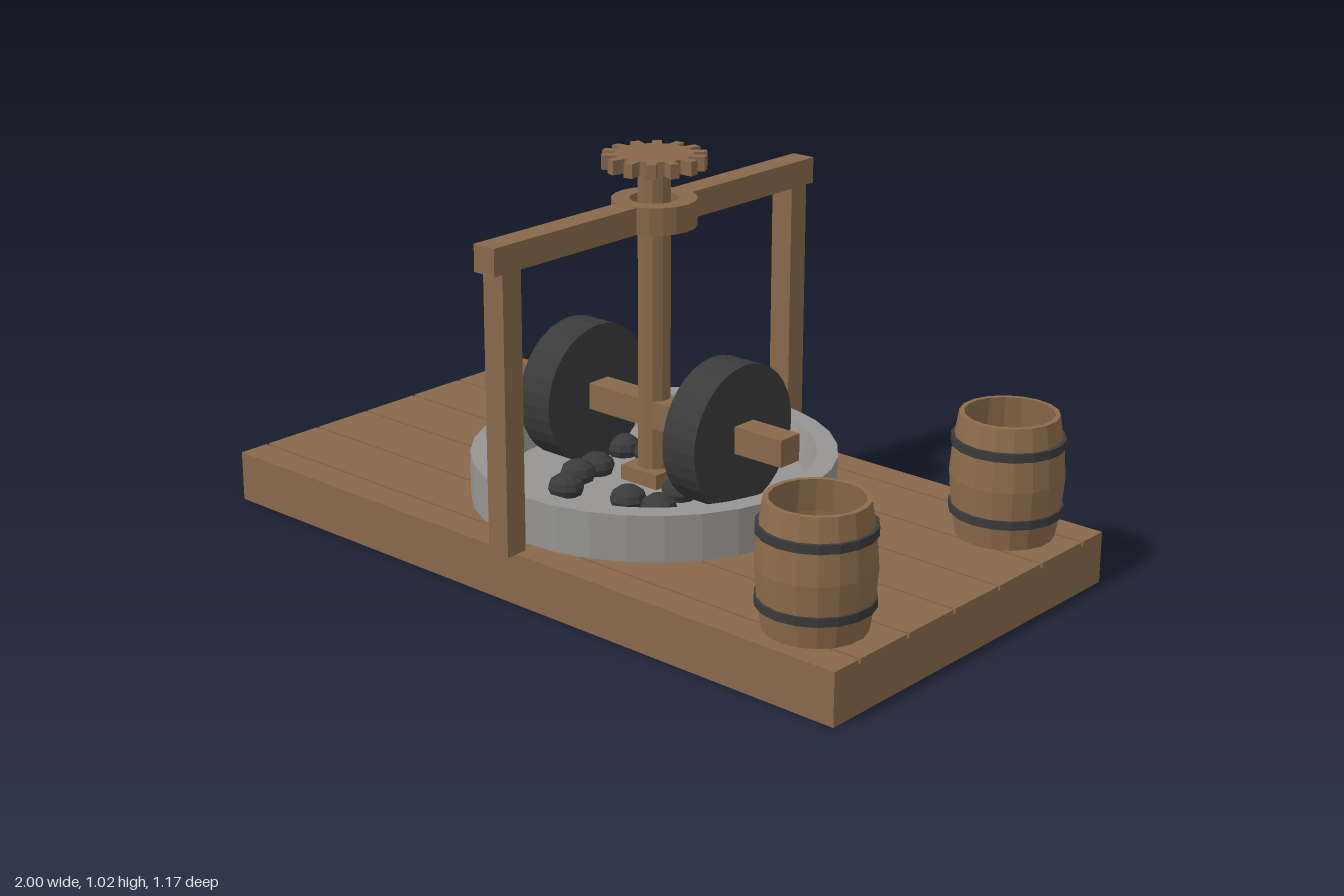
import * as THREE from 'three';

const mat = (name, color) => new THREE.MeshStandardMaterial({ name, color, flatShading: true });

export function createModel() {
  const wood = mat('wood', 0x88694b);
  const barrelWood = mat('barrelWood', 0x8d6c4b);
  const stone = mat('stone', 0x969593);
  const dark = mat('darkIron', 0x3b3b3b);

  const model = new THREE.Group();
  model.name = 'grindingMill';

  const add = (name, geometry, material, x = 0, y = 0, z = 0, parent = model) => {
    const mesh = new THREE.Mesh(geometry, material);
    mesh.name = name;
    mesh.position.set(x, y, z);
    parent.add(mesh);
    return mesh;
  };
  const box = (name, w, h, d, x, y, z) => add(name, new THREE.BoxGeometry(w, h, d), wood, x, y, z);
  const lathe = (points, sides) =>
    new THREE.LatheGeometry(points.map(([r, y]) => new THREE.Vector2(r, y)), sides);

  // Platform: solid base topped by planks with narrow gaps
  box('platformBase', 2, 0.122, 1.06, 0, 0.061, 0);
  const edges = [-0.53, -0.442, -0.265, -0.0885, 0.0885, 0.265, 0.442, 0.53];
  const gap = 0.008;
  for (let i = 0; i < edges.length - 1; i++) {
    const a = edges[i] + (i > 0 ? gap / 2 : 0);
    const b = edges[i + 1] - (i < edges.length - 2 ? gap / 2 : 0);
    box('plank', 2, 0.011, b - a, 0, 0.1275, (a + b) / 2);
  }

  // Round stone trough with a sloping inner wall
  add('trough', lathe([
    [0, 0.131], [0.467, 0.131], [0.467, 0.252], [0.413, 0.252], [0.388, 0.167], [0, 0.167],
  ], 32), stone);

  // Gantry: two posts and a beam meeting a collar around the shaft
  for (const s of [-1, 1]) {
    box('post', 0.064, 0.71, 0.06, 0, 0.487, s * 0.528);
    box('crossbeam', 0.066, 0.068, 0.5, 0, 0.872, s * 0.335);
  }
  add('collar', lathe([
    [0.062, 0.838], [0.107, 0.838], [0.107, 0.907], [0.062, 0.907], [0.062, 0.838],
  ], 20), wood);

  // Vertical shaft and its foot
  add('shaft', new THREE.CylinderGeometry(0.042, 0.042, 0.84, 10), wood, 0, 0.575, 0);
  box('shaftFoot', 0.12, 0.04, 0.12, 0, 0.186, 0);

  // Toothed wheel on top
  const gear = new THREE.Shape();
  const teeth = 14;
  for (let i = 0; i < teeth; i++) {
    [[-0.3, 0.098], [-0.2, 0.131], [0.2, 0.131], [0.3, 0.098]].forEach(([t, r], k) => {
      const a = ((i + t) / teeth) * Math.PI * 2;
      gear[i + k === 0 ? 'moveTo' : 'lineTo'](r * Math.cos(a), r * Math.sin(a));
    });
  }
  gear.closePath();
  const gearGeometry = new THREE.ExtrudeGeometry(gear, { depth: 0.036, bevelEnabled: false });
  gearGeometry.rotateX(-Math.PI / 2);
  add('gear', gearGeometry, wood, 0, 0.984, 0);

  // Horizontal axle with two millstones
  box('axle', 0.884, 0.07, 0.07, 0, 0.353, 0);
  for (const s of [-1, 1]) {
    const wheel = new THREE.CylinderGeometry(0.185, 0.185, 0.102, 32);
    wheel.rotateZ(Math.PI / 2);
    add('millstone', wheel, dark, s * 0.244, 0.352, 0);
  }

  // Lumps lying in the trough
  const lumps = [
    [-0.095, -0.225], [0.17, -0.175], [0, -0.2], [0.06, -0.13], [0.175, -0.08],
    [-0.18, -0.08], [-0.1, -0.1], [-0.14, 0.065], [-0.14, 0.135], [-0.095, 0.225],
    [0.075, 0.18], [0.17, 0.172], [0.135, 0.055],
  ];
  const lumpGeometry = new THREE.SphereGeometry(0.047, 10, 6);
  lumps.forEach(([x, z], i) => {
    const lump = add('lump', lumpGeometry, dark, x, 0.185, z);
    lump.scale.y = 0.75;
    lump.rotation.y = i * 1.3;
  });

  // Open barrels with two iron hoops each
  const barrelGeometry = lathe([
    [0, 0], [0.122, 0], [0.135, 0.08], [0.141, 0.155], [0.135, 0.23], [0.122, 0.312],
    [0.11, 0.312], [0.123, 0.23], [0.128, 0.155], [0.108, 0.02], [0, 0.02],
  ], 18);
  const hoopGeometry = lathe([
    [0.125, -0.011], [0.14, -0.011], [0.14, 0.011], [0.125, 0.011],
  ], 18);
  for (const s of [-1, 1]) {
    const barrel = new THREE.Group();
    barrel.name = 'barrel';
    barrel.position.set(0.82, 0.132, s * 0.372);
    add('barrelBody', barrelGeometry, barrelWood, 0, 0, 0, barrel);
    for (const y of [0.071, 0.243]) add('hoop', hoopGeometry, dark, 0, y, 0, barrel);
    model.add(barrel);
  }

  return model;
}
